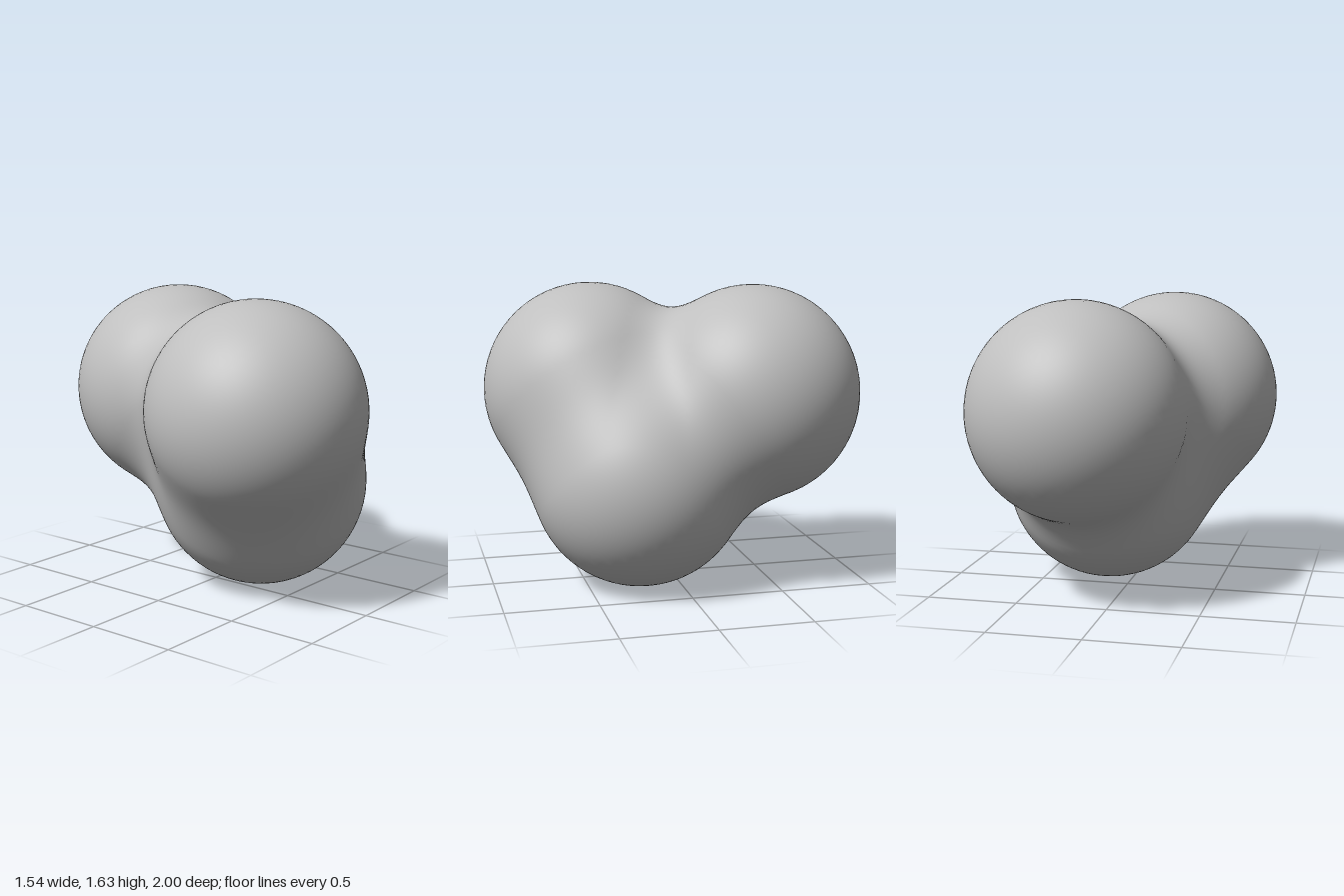
import * as THREE from 'three';
import { mergeVertices } from 'three/addons/utils/BufferGeometryUtils.js';

// Three equal balls melted into one blob
const RADIUS = 0.587;
const BLEND = 0.23;
const BALLS = [
  new THREE.Vector3(-0.187, 1.04, 0.415),
  new THREE.Vector3(0.18, 1.04, -0.415),
  new THREE.Vector3(0.145, 0.587, 0.205),
];

// Smooth minimum rounds the creases where balls meet
function smoothMin(a, b) {
  const h = Math.max(BLEND - Math.abs(a - b), 0) / BLEND;
  return Math.min(a, b) - h * h * BLEND * 0.25;
}

function distance(p) {
  return BALLS.map((c) => p.distanceTo(c) - RADIUS).reduce(smoothMin);
}

// Surface normal from the slope of the distance field
function normalAt(p) {
  const e = 0.002;
  const n = ['x', 'y', 'z'].map((axis) => {
    const a = p.clone(), b = p.clone();
    a[axis] += e;
    b[axis] -= e;
    return distance(a) - distance(b);
  });
  return new THREE.Vector3(...n).normalize();
}

// Push each vertex of a sphere outward from a shared inner point to the surface
function blobGeometry() {
  const core = new THREE.Vector3(0.04, 0.89, 0.06);
  let geometry = new THREE.IcosahedronGeometry(1, 20);
  geometry.deleteAttribute('uv');
  geometry.deleteAttribute('normal');
  geometry = mergeVertices(geometry);
  const pos = geometry.attributes.position;
  const normals = new THREE.BufferAttribute(new Float32Array(pos.count * 3), 3);
  const dir = new THREE.Vector3();
  const p = new THREE.Vector3();
  for (let i = 0; i < pos.count; i++) {
    dir.fromBufferAttribute(pos, i).normalize();
    let near = 0, far = 2;
    for (let step = 0; step < 24; step++) {
      const mid = (near + far) / 2;
      p.copy(core).addScaledVector(dir, mid);
      if (distance(p) < 0) near = mid;
      else far = mid;
    }
    pos.setXYZ(i, p.x, p.y, p.z);
    const n = normalAt(p);
    normals.setXYZ(i, n.x, n.y, n.z);
  }
  geometry.setAttribute('normal', normals);
  return geometry;
}

export function createModel() {
  const group = new THREE.Group();
  group.name = 'meltedBalls';
  const grey = new THREE.MeshStandardMaterial({ color: 0xbfbfbf });
  grey.name = 'grey';
  const blob = new THREE.Mesh(blobGeometry(), grey);
  blob.name = 'blob';
  group.add(blob);
  return group;
}
